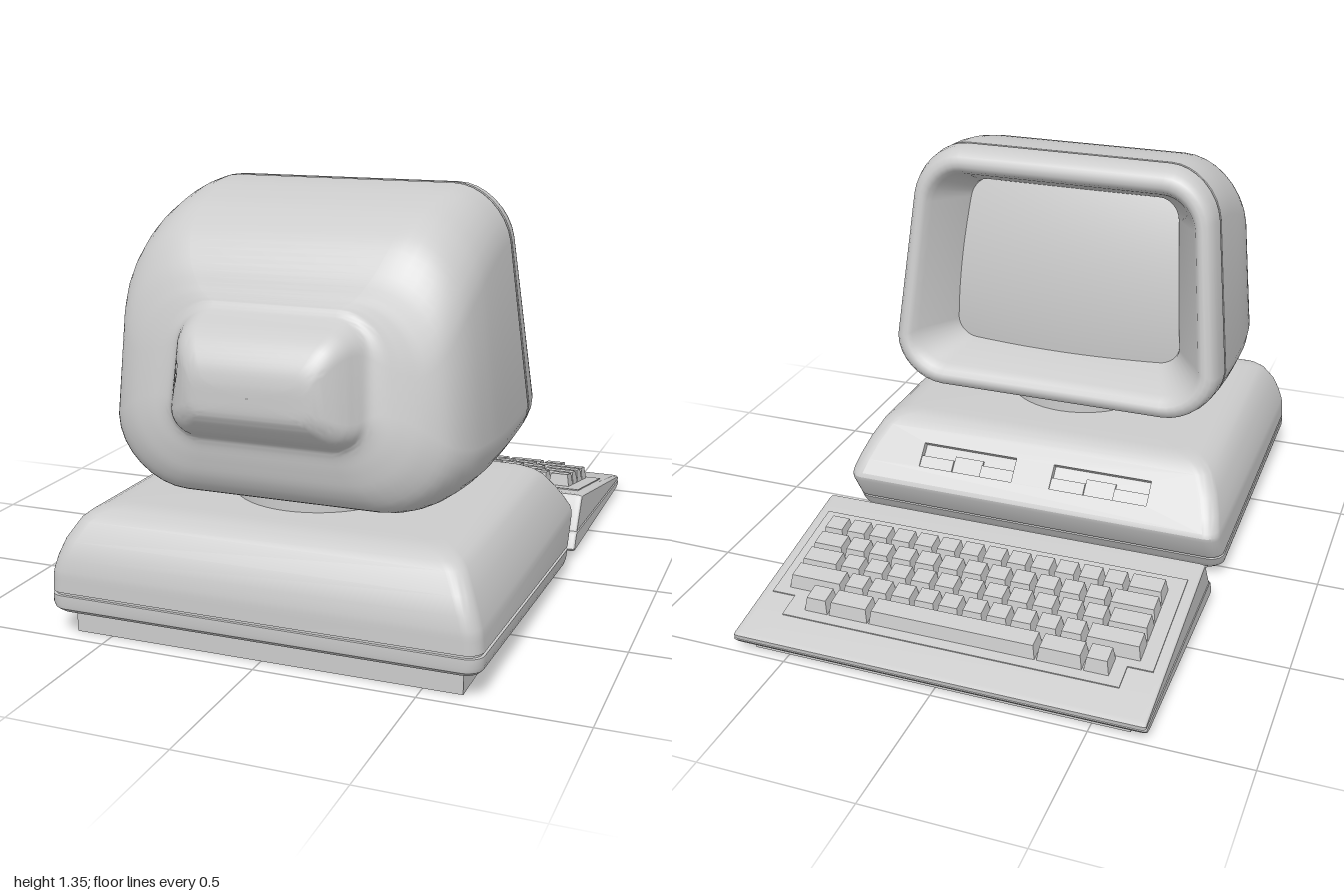
import * as THREE from 'three';
import { toCreasedNormals } from 'three/addons/utils/BufferGeometryUtils.js';

const grey = new THREE.MeshStandardMaterial({ color: 0xcccccc });
const K = 8; // segments per rounded corner

function mesh(name, geometry, parent) {
  const m = new THREE.Mesh(geometry, grey);
  m.name = name;
  parent.add(m);
  return m;
}

// Counter-clockwise rounded rectangle
function roundRect(hw, b0, b1, r) {
  r = Math.min(r, hw * 0.98, (b1 - b0) * 0.49);
  const pts = [];
  [[1, b1 - r], [-1, b1 - r], [-1, b0 + r], [1, b0 + r]].forEach(([side, cb], q) => {
    for (let k = 0; k <= K; k++) {
      const a = (q + k / K) * Math.PI / 2;
      pts.push([side * (hw - r) + r * Math.cos(a), cb + r * Math.sin(a)]);
    }
  });
  return pts;
}

// Skin a list of rings of Vector3
function loft(rings, skip = () => false, crease = 0.7) {
  const n = rings[0].length, index = [];
  for (let i = 0; i < rings.length - 1; i++) {
    for (let j = 0; j < n; j++) {
      if (skip(i, j)) continue;
      const a = i * n + j, b = i * n + (j + 1) % n;
      index.push(a, b, b + n, a, b + n, a + n);
    }
  }
  const g = new THREE.BufferGeometry().setFromPoints(rings.flat());
  g.setIndex(index);
  return toCreasedNormals(g, crease);
}

// The monitor narrows towards the top and tucks in at the bottom
const narrow = y => 1 - 0.22 * (y - 0.92) - 0.9 * Math.max(0, 0.8 - y) ** 2;

// Upright ring [z, lean, top, bottom, halfWidth, radius]
const uprightRing = ([z, lean, top, bottom, hw, r]) => roundRect(hw, bottom, top, r).map(([x, y]) =>
  new THREE.Vector3(x * narrow(y), y, z + lean * (y - 0.93)));

// Flat ring [y, tilt, frontZ, backZ, halfWidth, radius]
const flatRing = ([y, tilt, zf, zb, hw, r]) => roundRect(hw, -zb, -zf, r).map(([x, b]) =>
  new THREE.Vector3(x, y - tilt * b, -b));

// Cubic interpolation between rows of numbers
function refine(rows, steps) {
  const out = [];
  for (let i = 0; i < rows.length - 1; i++) {
    const p = rows[Math.max(i - 1, 0)], a = rows[i], b = rows[i + 1], q = rows[Math.min(i + 2, rows.length - 1)];
    for (let s = 0; s < steps; s++) {
      const t = s / steps;
      out.push(a.map((v, c) => v + 0.5 * t * (b[c] - p[c] + t * (2 * p[c] - 5 * v + 4 * b[c] - q[c]
        + t * (3 * (v - b[c]) + q[c] - p[c])))));
    }
  }
  out.push(rows[rows.length - 1]);
  return out;
}

// Side profile of [z, y] points, extruded across x with rounded ends
function slab(name, profile, hw, bevel, round, parent) {
  const shape = new THREE.Shape(profile.map(([z, y]) => new THREE.Vector2(-z, y)));
  const g = new THREE.ExtrudeGeometry(shape, {
    depth: 2 * (hw - round), bevelEnabled: bevel > 0, bevelSize: bevel, bevelThickness: round, bevelOffset: -bevel, bevelSegments: 4
  });
  g.translate(0, 0, round - hw).rotateY(Math.PI / 2);
  return mesh(name, toCreasedNormals(g, 0.6), parent);
}

function box(name, w, h, d, x, y, z, parent) {
  mesh(name, new THREE.BoxGeometry(w, h, d), parent).position.set(x, y, z);
}

function createMonitor() {
  const g = new THREE.Group();
  g.name = 'monitor';
  // recessed bezel, rounded rim and seam groove
  const front = [
    [0.33, 0.13, 1.2, 0.622, 0.395, 0.06], [0.28, 0.13, 1.207, 0.615, 0.405, 0.07],
    [0.15, 0.13, 1.258, 0.572, 0.495, 0.11], [0.124, 0.13, 1.273, 0.557, 0.508, 0.12],
    [0.114, 0.13, 1.289, 0.543, 0.521, 0.13], [0.112, 0.13, 1.305, 0.53, 0.535, 0.14],
    [0.118, 0.13, 1.322, 0.513, 0.551, 0.15], [0.135, 0.13, 1.338, 0.499, 0.564, 0.16],
    [0.165, 0.12, 1.348, 0.488, 0.572, 0.17], [0.215, 0.09, 1.35, 0.478, 0.576, 0.175],
    [0.216, 0.09, 1.347, 0.481, 0.573, 0.175], [0.228, 0.09, 1.347, 0.479, 0.573, 0.175],
    [0.229, 0.09, 1.349, 0.475, 0.576, 0.175]];
  // casing closing towards the rear and flaring into the tube housing
  const rear = refine([
    [0.23, 0.09, 1.349, 0.475, 0.576, 0.175], [0.36, 0.05, 1.34, 0.453, 0.577, 0.185],
    [0.5, 0, 1.316, 0.436, 0.576, 0.2], [0.6, 0, 1.283, 0.43, 0.57, 0.21],
    [0.7, -0.02, 1.222, 0.432, 0.551, 0.21], [0.77, -0.06, 1.14, 0.455, 0.513, 0.21],
    [0.804, -0.1, 1.075, 0.51, 0.455, 0.2], [0.818, -0.14, 1.05, 0.575, 0.39, 0.17],
    [0.826, -0.17, 1.036, 0.622, 0.335, 0.135], [0.84, -0.18, 1.02, 0.65, 0.3, 0.1],
    [0.87, -0.17, 1.004, 0.667, 0.28, 0.075], [0.91, -0.12, 0.985, 0.684, 0.26, 0.06],
    [0.95, -0.06, 0.953, 0.708, 0.233, 0.05], [0.985, -0.01, 0.9, 0.738, 0.195, 0.04],
    [0.998, 0, 0.85, 0.765, 0.15, 0.03], [1, 0, 0.813, 0.81, 0.002, 0.001]], 4);
  mesh('monitorCasing', loft([...front, ...rear].map(uprightRing)), g);

  // bulging screen, its edges hidden behind the bezel
  const screen = new THREE.PlaneGeometry(0.85, 0.63, 24, 18).rotateY(Math.PI);
  const p = screen.attributes.position;
  for (let i = 0; i < p.count; i++) {
    const x = p.getX(i), dy = p.getY(i), y = 0.912 + dy;
    p.setXYZ(i, x * narrow(y), y, 0.25 + 0.13 * (y - 0.93) + 0.03 * ((x / 0.4) ** 2 + (dy / 0.29) ** 2));
  }
  screen.computeVertexNormals();
  mesh('screen', screen, g);

  // swivel neck
  mesh('neck', new THREE.CylinderGeometry(0.27, 0.27, 0.1, 48), g).position.set(0, 0.43, 0.47);
  return g;
}

function createBase() {
  const g = new THREE.Group();
  g.name = 'computerBase';
  // tray, seam groove, pointed chin
  const lower = [
    [0.03, 0.048, 0.4, 0.41, 0.005, 0.002], [0.027, 0.048, -0.035, 0.945, 0.64, 0.03],
    [0.031, 0.048, -0.06, 0.98, 0.667, 0.045], [0.045, 0.048, -0.074, 0.997, 0.68, 0.05],
    [0.06, 0.048, -0.083, 1, 0.684, 0.05], [0.088, 0.048, -0.1, 1, 0.684, 0.05],
    [0.089, 0.048, -0.092, 0.992, 0.676, 0.045], [0.097, 0.048, -0.096, 0.992, 0.676, 0.045],
    [0.098, 0.048, -0.106, 1, 0.683, 0.05], [0.185, 0, -0.167, 1, 0.68, 0.05],
    [0.2, 0, -0.17, 1, 0.679, 0.05]];
  // straight front slope
  const slope = [[0.215, 0.999, 0.676], [0.255, 0.992, 0.664], [0.305, 0.976, 0.644], [0.36, 0.938, 0.612]]
    .map(([y, zb, hw]) => [y, 0, -0.165 + (y - 0.215) * 0.931, zb, hw, 0.05]);
  const upper = [
    [0.378, 0, -0.012, 0.918, 0.59, 0.05], [0.391, 0, 0.01, 0.89, 0.56, 0.05],
    [0.398, 0, 0.03, 0.862, 0.53, 0.05], [0.4, 0, 0.06, 0.83, 0.5, 0.05], [0.4, 0, 0.45, 0.46, 0.005, 0.002]];
  // left open where the drive panel sits
  const start = lower.length;
  mesh('baseShell', loft([...lower, ...slope, ...upper].map(flatRing),
    (i, j) => i >= start && i < start + slope.length - 1 && j === K, 0.5), g);

  // sloping drive panel with two openings
  const up = new THREE.Vector3(0, 1, 0.931).normalize();
  const panel = new THREE.Group();
  panel.name = 'drivePanel';
  new THREE.Matrix4().makeBasis(new THREE.Vector3(-1, 0, 0), up, new THREE.Vector3(0, up.z, -up.y))
    .decompose(panel.position, panel.quaternion, panel.scale);
  panel.position.set(0, 0.215, -0.165);
  g.add(panel);
  const edge = slope.map(([y, , , , hw, r]) => new THREE.Vector2(hw - r, (y - 0.215) / up.y));
  const face = new THREE.Shape([...edge, ...edge.map(v => new THREE.Vector2(-v.x, v.y)).reverse()]);
  for (const s of [-1, 1]) {
    face.holes.push(new THREE.Path([[0.07, 0.062], [0.07, 0.15], [0.42, 0.15], [0.42, 0.062]]
      .map(([x, y]) => new THREE.Vector2(s * x, y))));
    const cx = s * 0.245;
    box('driveFloor', 0.37, 0.1, 0.01, cx, 0.106, -0.03, panel);
    for (const d of [-1, 1]) box('driveFlap', 0.122, 0.042, 0.025, cx + d * 0.114, 0.083, -0.018, panel);
    box('driveLatch', 0.106, 0.06, 0.012, cx, 0.092, -0.021, panel);
  }
  mesh('panelFace', new THREE.ExtrudeGeometry(face, { depth: 0.03, bevelEnabled: false }), panel).position.z = -0.03;

  slab('foot', [[0.94, 0], [0.94, 0.08], [-0.025, 0.035], [-0.025, 0]], 0.62, 0, 0, g);
  return g;
}

// Key cap that narrows upward and stands upright on the sloping deck
function keyCap(w, d, h) {
  const geo = new THREE.BoxGeometry(w, h, d), p = geo.attributes.position;
  for (let i = 0; i < p.count; i++) {
    if (p.getY(i) > 0) p.setXYZ(i, p.getX(i) - Math.sign(p.getX(i)) * 0.007, h / 2, p.getZ(i) * 0.8 + h * 0.19);
  }
  geo.computeVertexNormals();
  return geo.translate(0, h / 2, 0);
}

function createKeyboard() {
  const g = new THREE.Group();
  g.name = 'keyboard';
  slab('keyboardTop', [[-0.237, 0.08], [-0.24, 0.092], [-0.303, 0.188], [-0.312, 0.196], [-0.33, 0.195], [-0.985, 0.068],
    [-1, 0.06], [-0.997, 0.045]], 0.675, 0.006, 0.022, g);
  slab('keyboardTray', [[-0.2, 0.032], [-0.222, 0.078], [-0.235, 0.086], [-0.99, 0.05], [-1, 0.044], [-0.985, 0.028],
    [-0.96, 0.022], [-0.21, 0.022]], 0.677, 0.005, 0.018, g);
  slab('keyboardFoot', [[-0.22, 0], [-0.22, 0.03], [-0.96, 0.03], [-0.96, 0]], 0.62, 0, 0, g);

  // everything on the deck follows its slope
  const deck = new THREE.Group(), slope = Math.atan(0.194);
  deck.name = 'keyDeck';
  deck.position.set(0, 0.195, -0.33);
  deck.rotation.x = -slope;
  g.add(deck);
  const along = z => (z + 0.33) / Math.cos(slope);
  const outline = [[-0.64, -0.4], [-0.64, -0.8], [-0.56, -0.8], [-0.56, -0.885], [0.56, -0.885], [0.56, -0.8], [0.64, -0.8], [0.64, -0.4]];
  const plate = new THREE.ExtrudeGeometry(new THREE.Shape(outline.map(([x, z]) => new THREE.Vector2(x, -along(z)))),
    { depth: 0.008, bevelEnabled: false });
  mesh('keyPlate', plate.rotateX(-Math.PI / 2), deck).position.y = -0.004;

  const row = (z, start, widths) => {
    let x = start;
    for (const w of widths) {
      mesh('key', keyCap(w - 0.006, 0.074, 0.044), deck).position.set(x + w / 2, 0.003, along(z));
      x += w;
    }
  };
  // [z, first key width, number of standard keys, pitch]; the last key fills the row
  for (const [z, first, n, pitch] of [[-0.497, 0.125, 12, 0.082], [-0.576, 0.16, 11, 0.083],
    [-0.655, 0.14, 11, 0.083], [-0.734, 0.185, 10, 0.0815]]) {
    row(z, -0.595, [first, ...Array(n).fill(pitch), 1.19 - first - n * pitch]);
  }
  row(-0.815, -0.52, [0.085, 0.15, 0.56, 0.14, 0.085]);
  return g;
}

export function createModel() {
  const model = new THREE.Group();
  model.name = 'desktopComputer';
  model.add(createMonitor(), createBase(), createKeyboard());
  return model;
}
